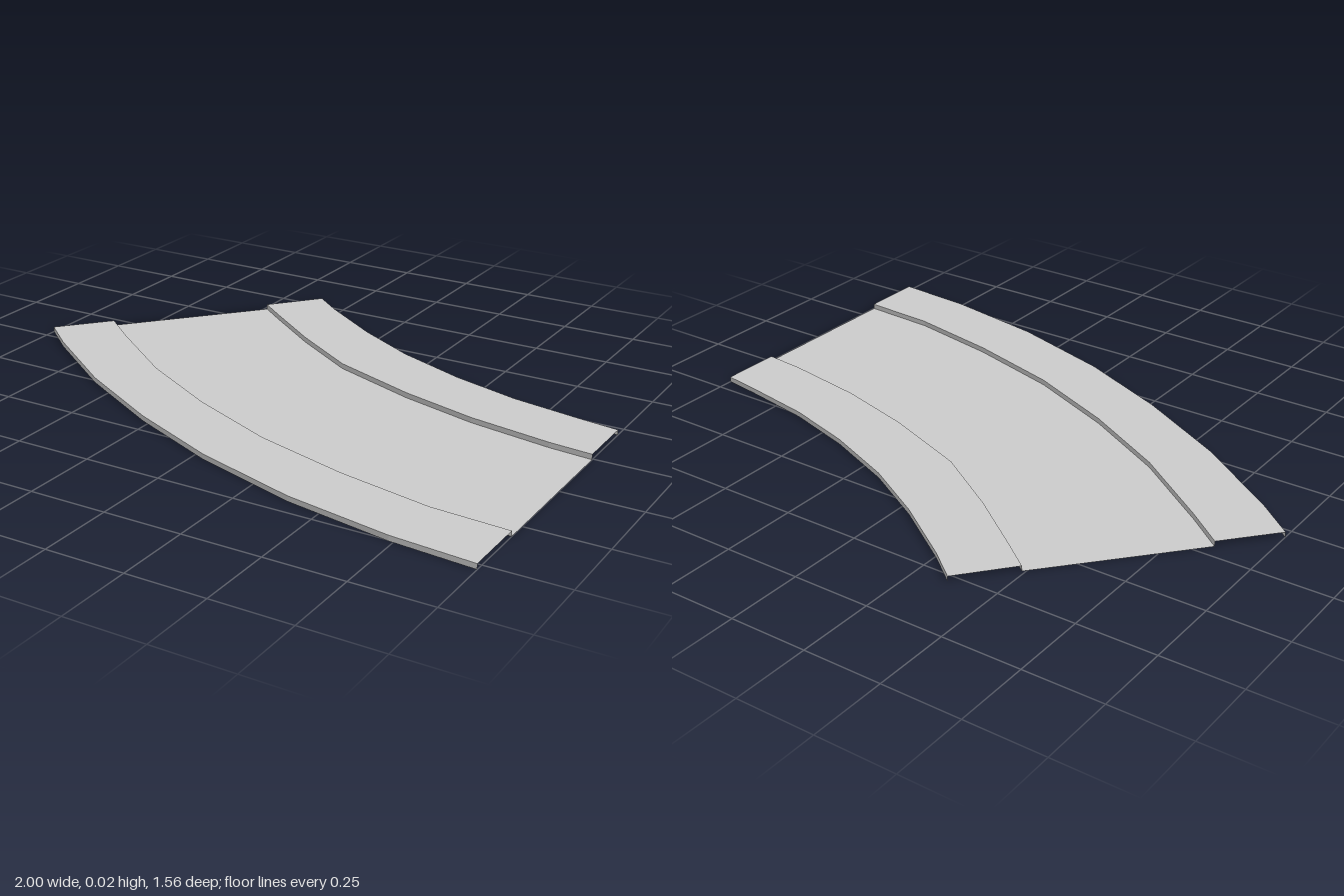
import * as THREE from 'three';

const KERB = 0.017; // height of the pavements above the road

// Long edges of the bend as [x, z], from the turned end to the straight end
const innerEdge = [[-0.355, -0.78], [-0.255, -0.7], [-0.045, -0.555], [0.165, -0.435],
  [0.405, -0.335], [0.635, -0.265], [0.875, -0.22], [1, -0.2]];
const innerKerb = [[-0.49, -0.62], [-0.4, -0.55], [-0.2, -0.4], [0.03, -0.25],
  [0.325, -0.135], [0.585, -0.06], [0.86, -0.01], [1, 0.005]];
const outerKerb = [[-0.86, -0.2], [-0.735, -0.1], [-0.47, 0.095], [-0.185, 0.255],
  [0.12, 0.39], [0.44, 0.485], [0.75, 0.55], [1, 0.567]];
const outerEdge = [[-1, -0.04], [-0.88, 0.06], [-0.59, 0.265], [-0.275, 0.44],
  [0.04, 0.58], [0.39, 0.69], [0.735, 0.755], [1, 0.778]];

const material = new THREE.MeshStandardMaterial({
  color: 0xcccccc, flatShading: true, side: THREE.DoubleSide,
});

// Strip of quads between two edges, each at its own height
function strip(name, edgeA, yA, edgeB, yB) {
  const positions = [];
  const index = [];
  edgeA.forEach(([x, z], i) => {
    positions.push(x, yA, z, edgeB[i][0], yB, edgeB[i][1]);
    if (i > 0) {
      const k = 2 * i;
      index.push(k - 2, k - 1, k, k - 1, k + 1, k);
    }
  });
  const geometry = new THREE.BufferGeometry();
  geometry.setAttribute('position', new THREE.Float32BufferAttribute(positions, 3));
  geometry.setIndex(index);
  geometry.computeVertexNormals();
  const mesh = new THREE.Mesh(geometry, material);
  mesh.name = name;
  return mesh;
}

export function createModel() {
  const group = new THREE.Group();
  group.name = 'curvedRoad';
  group.add(
    // Pavement on the inside of the bend
    strip('innerSkirt', innerEdge, 0, innerEdge, KERB),
    strip('innerPavement', innerEdge, KERB, innerKerb, KERB),
    strip('innerKerb', innerKerb, KERB, innerKerb, 0),
    // Carriageway
    strip('road', innerKerb, 0, outerKerb, 0),
    // Pavement on the outside of the bend
    strip('outerKerb', outerKerb, 0, outerKerb, KERB),
    strip('outerPavement', outerKerb, KERB, outerEdge, KERB),
    strip('outerSkirt', outerEdge, KERB, outerEdge, 0),
  );
  return group;
}
